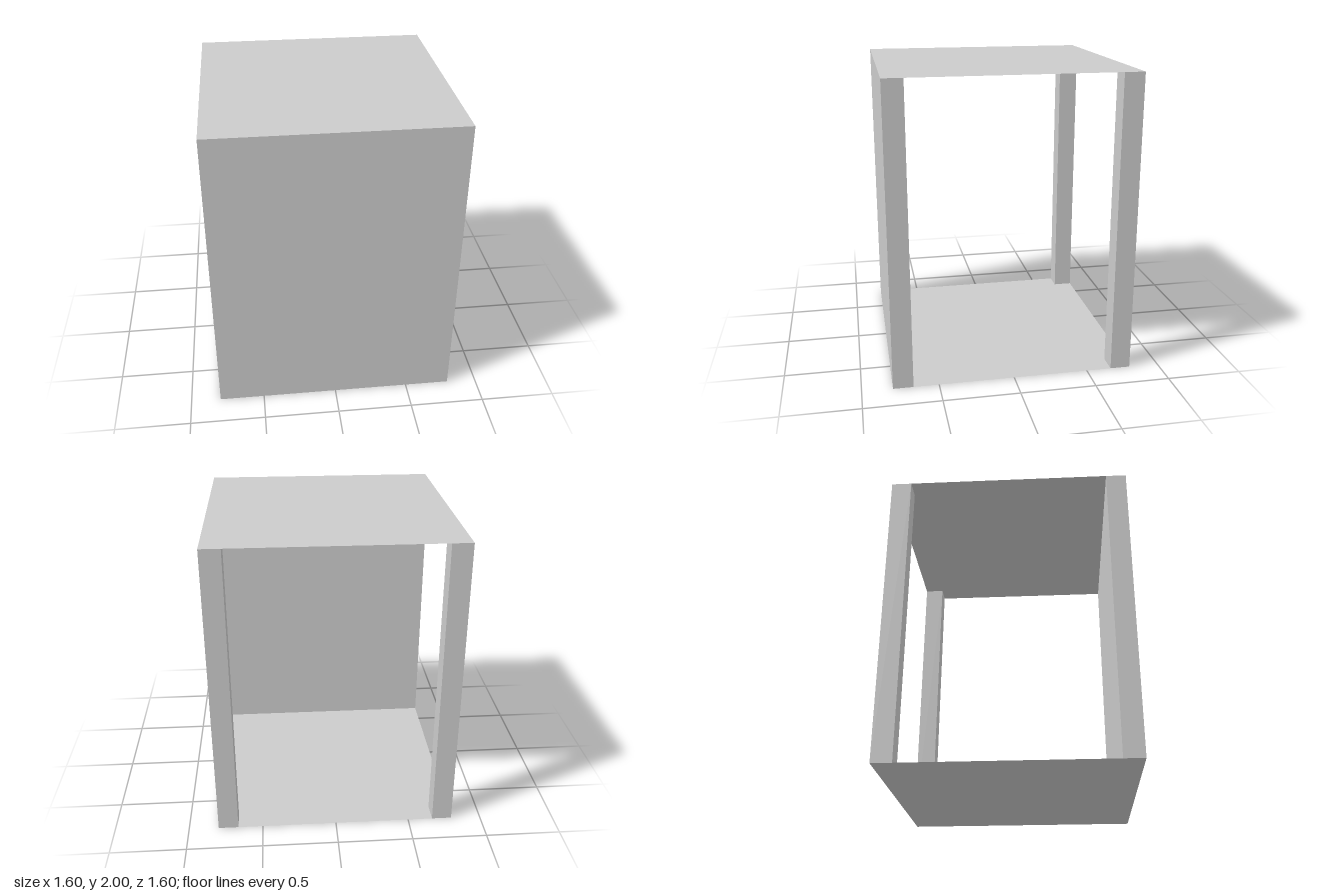
import * as THREE from 'three';

const W = 1.6;   // footprint width and depth
const H = 2;     // height
const T = 0.133; // thickness of front panel and posts

export function createModel() {
  const group = new THREE.Group();
  const solid = new THREE.MeshStandardMaterial({ color: 0xcccccc, flatShading: true });
  const sheet = new THREE.MeshStandardMaterial({ color: 0xcccccc, side: THREE.DoubleSide });

  const add = (name, geometry, material, x, y, z) => {
    const mesh = new THREE.Mesh(geometry, material);
    mesh.name = name;
    mesh.position.set(x, y, z);
    group.add(mesh);
  };

  const edge = (W - T) / 2;

  // Full-width front panel
  add('frontPanel', new THREE.BoxGeometry(W, H, T), solid, 0, H / 2, edge);

  // Square posts at the two back corners
  for (const [name, side] of [['backPostLeft', 1], ['backPostRight', -1]]) {
    add(name, new THREE.BoxGeometry(T, H, T), solid, side * edge, H / 2, -edge);
  }

  // Paper-thin floor and roof sheets
  for (const [name, y] of [['floor', 0], ['roof', H]]) {
    add(name, new THREE.PlaneGeometry(W, W).rotateX(-Math.PI / 2), sheet, 0, y, 0);
  }

  return group;
}
